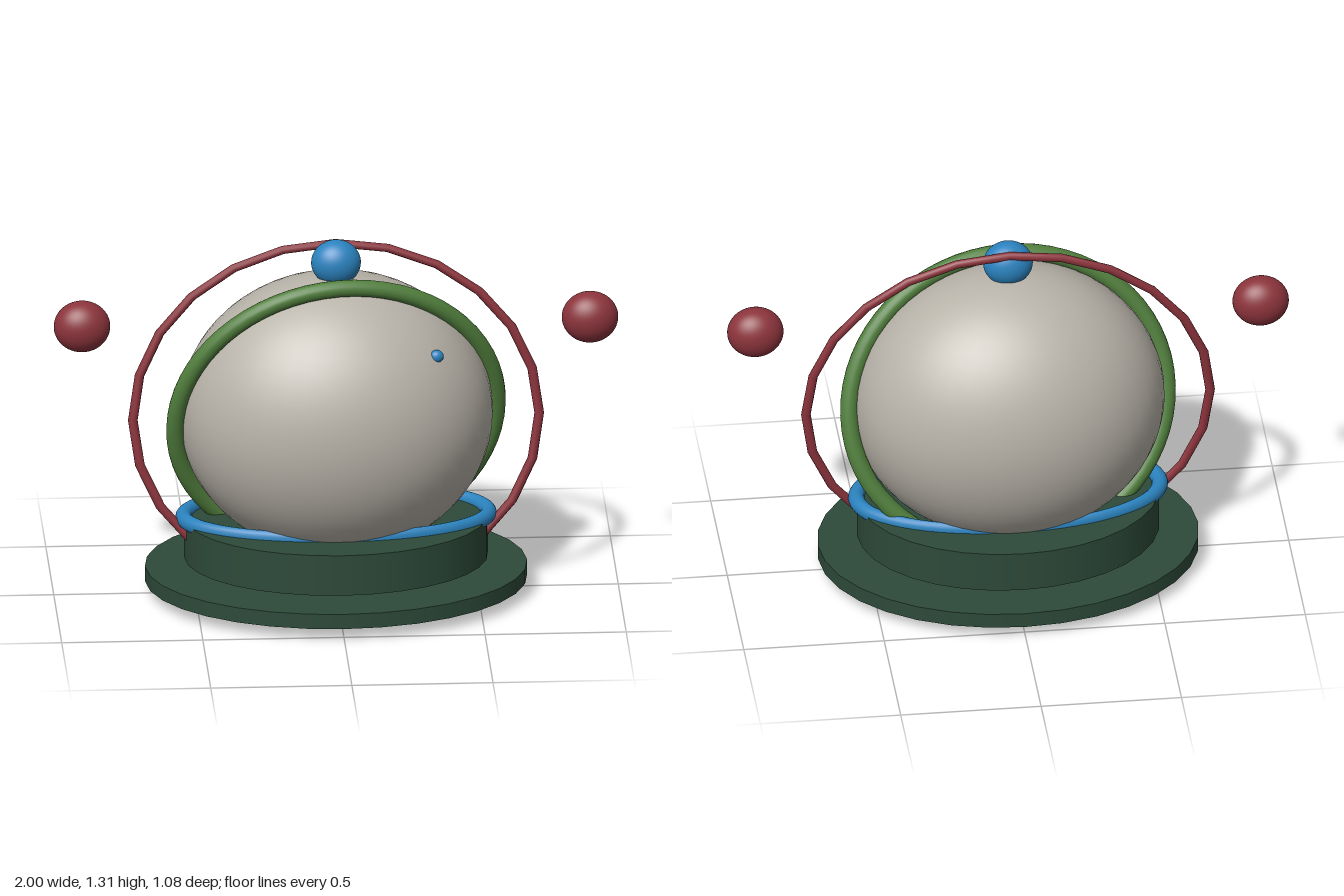
import * as THREE from 'three';

export function createModel() {
  const root = new THREE.Group();
  const mat = (name, color) => {
    const m = new THREE.MeshStandardMaterial({ color });
    m.name = name;
    return m;
  };
  const stone = mat('warm grey', 0xb8b3a9);
  const darkGreen = mat('dark green', 0x2d4a3a);
  const green = mat('leaf green', 0x517f3d);
  const red = mat('dark red', 0x8c343c);
  const blue = mat('blue', 0x2b83bf);

  const add = (name, geometry, material, pos, scale = [1, 1, 1], rot = [0, 0, 0]) => {
    const mesh = new THREE.Mesh(geometry, material);
    mesh.name = name;
    mesh.position.set(...pos);
    mesh.scale.set(...scale);
    mesh.rotation.set(...rot);
    root.add(mesh);
    return mesh;
  };

  const ball = new THREE.SphereGeometry(1, 48, 32);

  // Oval base: a wide plate with a drum floating just above it
  add('basePlate', new THREE.CylinderGeometry(0.677, 0.677, 0.055, 32), darkGreen, [0, 0.077, 0], [1, 1, 0.795]);
  add('baseDrum', new THREE.CylinderGeometry(0.538, 0.538, 0.15, 32), darkGreen, [0, 0.21, 0], [1, 1, 0.795]);

  // Flattened collar around the foot of the globe
  const collar = new THREE.TorusGeometry(0.54, 0.029, 16, 64);
  collar.rotateX(Math.PI / 2);
  add('collar', collar, blue, [0, 0.287, 0], [1, 1, 0.5]);

  // Globe, top knob and surface stud
  add('globe', ball, stone, [0, 0.673, 0], [0.556, 0.514, 0.438]);
  add('topKnob', ball, blue, [0, 1.235, 0], [0.088, 0.082, 0.07]);
  add('stud', ball, blue, [0.343, 0.96, 0.238], [0.025, 0.023, 0.02]);

  // Tilted rings
  add('innerRing', new THREE.TorusGeometry(0.577, 0.032, 16, 64), green,
    [0, 0.661, 0], [1, 0.947, 0.95], [0.27, 0.113, 0]);
  add('outerRing', new THREE.TorusGeometry(0.72, 0.017, 10, 24), red,
    [0, 0.655, 0], [1, 0.885, 0.85], [-0.073, 0, 0]);

  // Side balls
  for (const s of [1, -1]) {
    add(s > 0 ? 'leftBall' : 'rightBall', ball, red, [s * 0.9, 1.012, 0], [0.1, 0.093, 0.078]);
  }
  return root;
}
